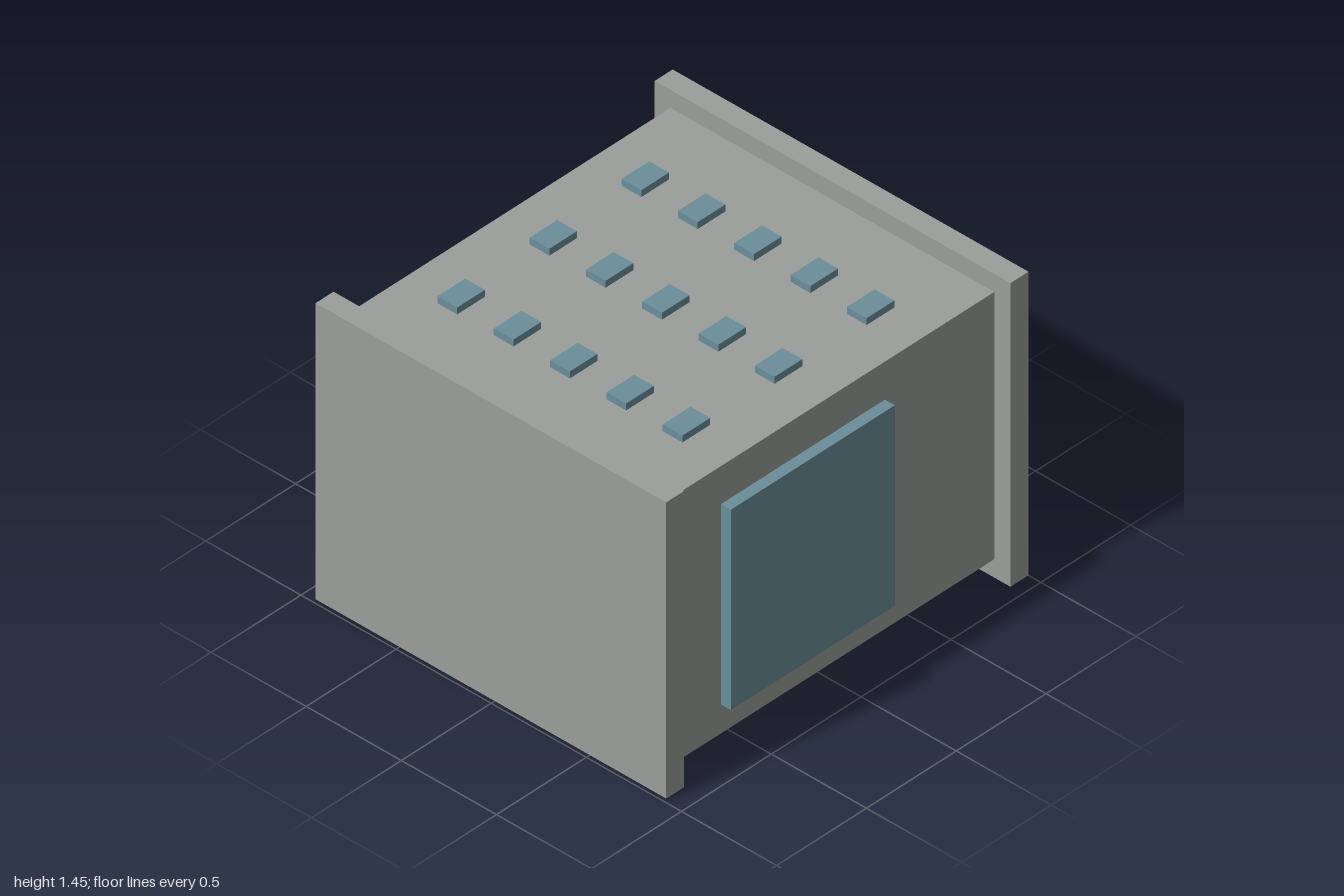
import * as THREE from 'three';

export function createModel() {
  const model = new THREE.Group();
  model.name = 'block';

  const grey = new THREE.MeshStandardMaterial({ color: 0x9c9e9c });
  grey.name = 'grey';
  const blue = new THREE.MeshStandardMaterial({ color: 0x6b8f9b });
  blue.name = 'slate blue';

  // Box given by its extents along each axis
  function box(name, material, [x0, x1], [y0, y1], [z0, z1], parent = model) {
    const mesh = new THREE.Mesh(new THREE.BoxGeometry(x1 - x0, y1 - y0, z1 - z0), material);
    mesh.position.set((x0 + x1) / 2, (y0 + y1) / 2, (z0 + z1) / 2);
    mesh.name = name;
    parent.add(mesh);
  }

  // Main block between two larger end plates
  box('body', grey, [-0.852, 0.85], [0.088, 1.367], [-0.9, 0.9]);
  box('frontPlate', grey, [-0.923, 0.92], [0.02, 1.437], [0.9, 1]);
  box('backPlate', grey, [-0.935, 0.935], [0, 1.453], [-1, -0.9]);

  // Panel standing just clear of the right-hand side
  box('sidePanel', blue, [0.87, 0.922], [0.248, 1.207], [-0.27, 0.642]);

  // Underside: wide slab at the back and a narrow bar towards the front
  box('bottomSlab', blue, [-0.75, 0.747], [0, 0.058], [-0.9, -0.472]);
  box('bottomBar', blue, [-0.53, 0.53], [0.025, 0.08], [0.353, 0.493]);

  // Grid of small pads on the top and the underside
  const pads = new THREE.Group();
  pads.name = 'pads';
  model.add(pads);
  for (const z of [-0.489, 0.023, 0.536]) {
    for (let i = -2; i <= 2; i++) {
      const x = -0.004 + i * 0.296;
      const xs = [x - 0.052, x + 0.052];
      const zs = [z - 0.077, z + 0.077];
      box('topPad', blue, xs, [1.36, 1.4], zs, pads);
      box('bottomPad', blue, xs, [0.058, 0.095], zs, pads);
    }
  }
  return model;
}
